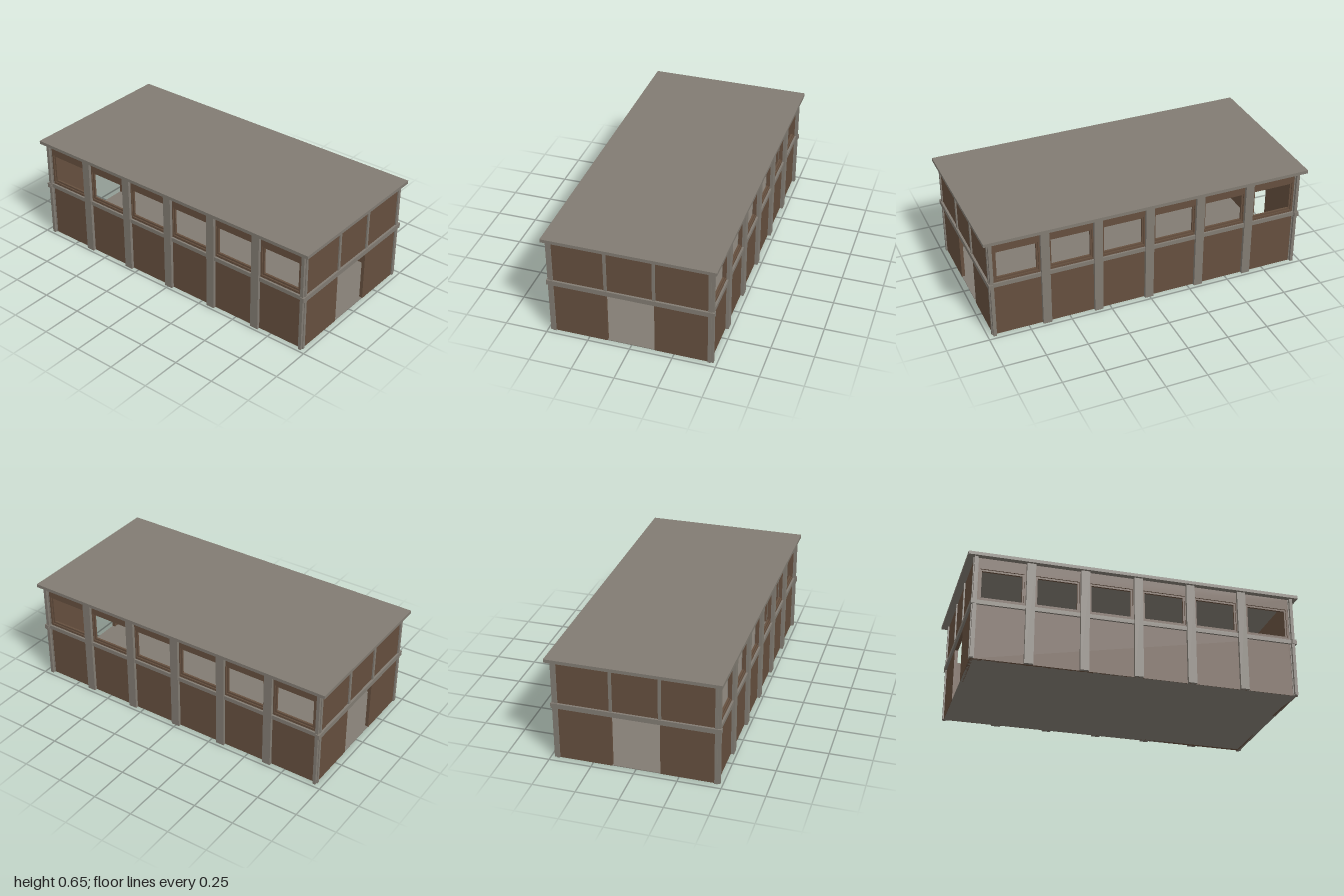
import * as THREE from 'three';

export function createModel() {
  const model = new THREE.Group();
  const building = new THREE.Group();
  building.name = 'building';
  building.position.set(-0.0025, 0, 0.004);
  model.add(building);

  const concrete = new THREE.MeshStandardMaterial({ color: 0x817b72 });
  concrete.name = 'concrete grey';
  const brick = new THREE.MeshStandardMaterial({ color: 0x654f3e });
  brick.name = 'brick brown';

  // Box given by its low and high corners
  function box(name, x0, x1, y0, y1, z0, z1, mat = concrete, parent = building) {
    const mesh = new THREE.Mesh(new THREE.BoxGeometry(x1 - x0, y1 - y0, z1 - z0), mat);
    mesh.position.set((x0 + x1) / 2, (y0 + y1) / 2, (z0 + z1) / 2);
    mesh.name = name;
    parent.add(mesh);
  }
  const rect = (Type, x0, x1, y0, y1) => new Type([
    new THREE.Vector2(x0, y0), new THREE.Vector2(x1, y0),
    new THREE.Vector2(x1, y1), new THREE.Vector2(x0, y1)]);
  function panel(name, shape, depth) {
    const mesh = new THREE.Mesh(
      new THREE.ExtrudeGeometry(shape, { depth, bevelEnabled: false }), brick);
    mesh.name = name;
    return mesh;
  }

  const top = 0.628;
  // [centre, half width] of the windows along each long wall
  const windows = [-0.8, -0.478, -0.16, 0.16, 0.478, 0.8].map(c => [c, 0.117]);
  const columns = [-0.637, -0.3185, 0, 0.3185, 0.637];

  // Roof and floor slabs
  box('roof', -0.5, 0.5, top, 0.648, -1, 1, concrete, model);
  box('floor', -0.462, 0.462, 0, 0.004, -0.96, 0.96);

  for (const s of [1, -1]) {
    // Long side: local x runs along the building, local z points outward
    const side = new THREE.Group();
    side.name = s > 0 ? 'leftSide' : 'rightSide';
    side.rotation.y = s * Math.PI / 2;
    building.add(side);

    const wall = rect(THREE.Shape, -0.942, 0.942, 0, top);
    for (const [c, h] of windows)
      wall.holes.push(rect(THREE.Path, c - h - 0.01, c + h + 0.01, 0.37, 0.56));
    const wallMesh = panel('sideWall', wall, 0.02);
    wallMesh.position.z = 0.444;
    side.add(wallMesh);

    // Recessed window frames
    for (const [c, h] of windows) {
      const frame = rect(THREE.Shape, c - h - 0.01, c + h + 0.01, 0.37, 0.56);
      frame.holes.push(rect(THREE.Path, c - h, c + h, 0.382, 0.549));
      const mesh = panel('windowFrame', frame, 0.012);
      mesh.position.z = 0.445;
      side.add(mesh);
    }
    for (const c of columns)
      box('sideColumn', c - 0.026, c + 0.026, 0, top, 0.438, 0.4825, concrete, side);
    box('sideBand', -0.97, 0.97, 0.331, 0.356, 0.45, 0.476, concrete, side);

    // Short end with an open doorway, outward along local z
    const end = new THREE.Group();
    end.name = s > 0 ? 'frontEnd' : 'backEnd';
    end.rotation.y = s > 0 ? 0 : Math.PI;
    building.add(end);

    const endShape = new THREE.Shape([
      [-0.464, 0], [-0.14, 0], [-0.14, 0.322], [0.14, 0.322],
      [0.14, 0], [0.464, 0], [0.464, top], [-0.464, top],
    ].map(p => new THREE.Vector2(...p)));
    const endMesh = panel('endWall', endShape, 0.02);
    endMesh.position.z = 0.942;
    end.add(endMesh);
    for (const x of [-0.14, 0.14])
      box('endPost', x - 0.0085, x + 0.0085, 0.356, top, 0.95, 0.97, concrete, end);
    box('endBand', -0.488, 0.488, 0.327, 0.357, 0.95, 0.975, concrete, end);

    // Stepped corner posts
    for (const m of [1, -1]) {
      const span = (a, b) => (m > 0 ? [a, b] : [-b, -a]);
      box('cornerPostEnd', ...span(0.45, 0.467), 0, top, 0.94, 0.97, concrete, end);
      box('cornerPostSide', ...span(0.455, 0.4825), 0, top, 0.946, 0.965, concrete, end);
    }
  }
  return model;
}
